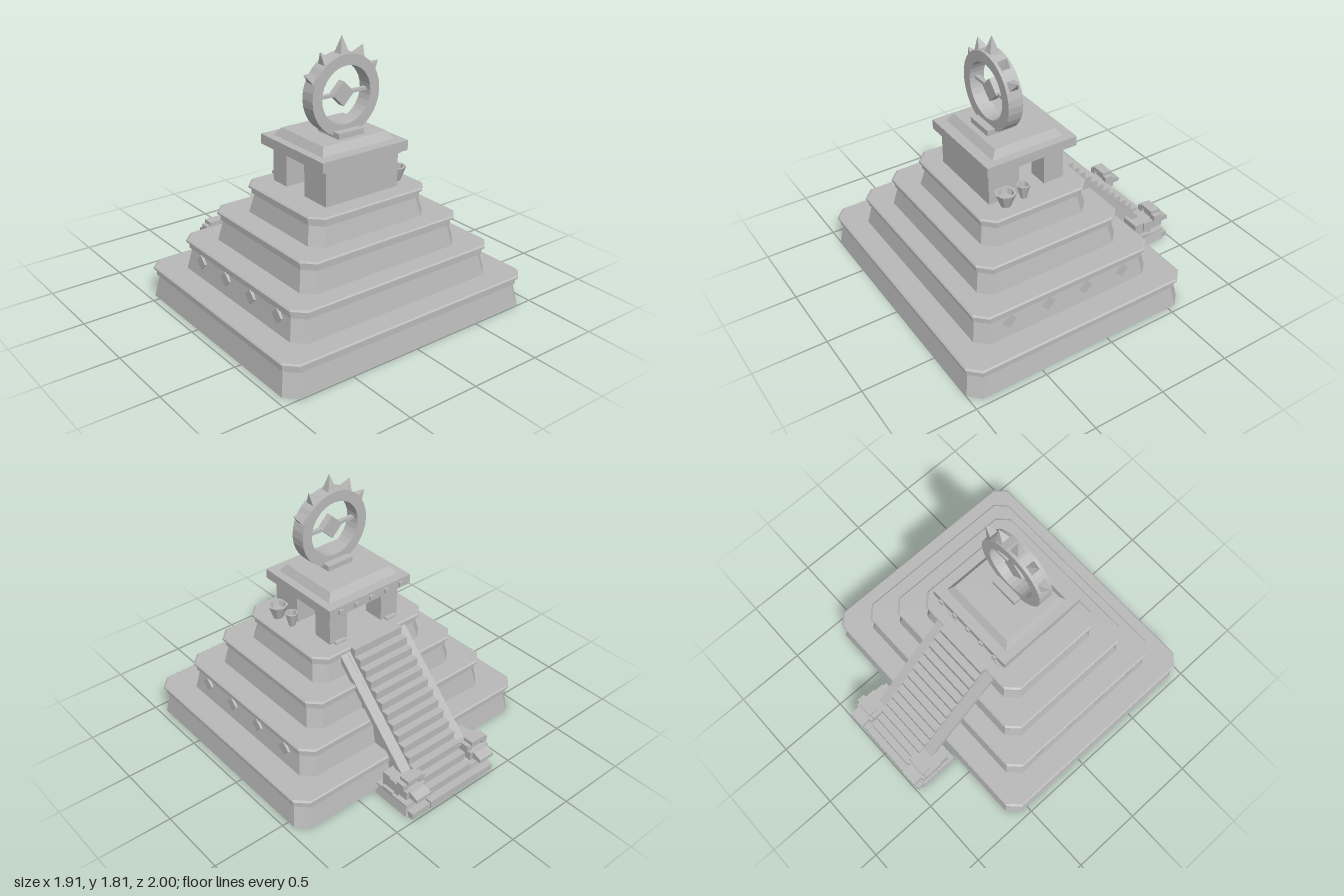
import * as THREE from 'three';

const stone = new THREE.MeshStandardMaterial({ color: 0xb8b8b8, flatShading: true, side: THREE.DoubleSide });
stone.name = 'stone';

function add(parent, name, geometry, x = 0, y = 0, z = 0) {
  const mesh = new THREE.Mesh(geometry, stone);
  mesh.name = name;
  mesh.position.set(x, y, z);
  parent.add(mesh);
  return mesh;
}

// Box given by its min and max along each axis
function block(parent, name, x0, x1, y0, y1, z0, z1) {
  const g = new THREE.BoxGeometry(x1 - x0, y1 - y0, z1 - z0);
  return add(parent, name, g, (x0 + x1) / 2, (y0 + y1) / 2, (z0 + z1) / 2);
}

// Stacked rectangles with cut corners; rings are [halfX, halfZ, y], capped on top
function loft(rings, cut) {
  const pos = [];
  const loops = rings.map(([a, b, y]) => [
    [-a + cut, b], [a - cut, b], [a, b - cut], [a, -b + cut],
    [a - cut, -b], [-a + cut, -b], [-a, -b + cut], [-a, b - cut],
  ].map(([x, z]) => [x, y, z]));
  for (let r = 0; r < loops.length - 1; r++) {
    for (let i = 0; i < 8; i++) {
      const j = (i + 1) % 8;
      const a = loops[r][i], b = loops[r][j], c = loops[r + 1][j], d = loops[r + 1][i];
      pos.push(...a, ...b, ...c, ...a, ...c, ...d);
    }
  }
  const top = loops[loops.length - 1];
  for (let i = 0; i < 8; i++) pos.push(0, top[0][1], 0, ...top[i], ...top[(i + 1) % 8]);
  const g = new THREE.BufferGeometry();
  g.setAttribute('position', new THREE.Float32BufferAttribute(pos, 3));
  g.computeVertexNormals();
  return g;
}

// Side profile of [z, y] points, extruded from x0 to x1
function profile(points, x0, x1) {
  const shape = new THREE.Shape(points.map(([z, y]) => new THREE.Vector2(z, y)));
  const g = new THREE.ExtrudeGeometry(shape, { depth: x1 - x0, bevelEnabled: false });
  return g.rotateY(-Math.PI / 2).translate(x1, 0, 0);
}

function addTiers(root) {
  const tiers = [
    [0.955, 0.815, 0, 0.22], [0.785, 0.66, 0.22, 0.43],
    [0.62, 0.528, 0.43, 0.635], [0.46, 0.395, 0.635, 0.825],
  ];
  tiers.forEach(([a, b, y0, y1], i) => {
    const ring = (inset, y) => [a - inset, b - inset, y];
    add(root, 'tier' + (i + 1), loft([
      ring(0, y0), ring(0.028, y1 - 0.062), ring(0.014, y1 - 0.06), ring(0.014, y1 - 0.025),
      ring(0, y1 - 0.02), ring(0, y1 - 0.008), ring(0.01, y1),
    ], 0.075), 0, 0, 0.182);
  });
  // Diamond studs along both sides of the second tier
  for (const s of [-1, 1]) {
    for (const z of [0.62, 0.335, 0.055, -0.235]) {
      const stud = add(root, 'diamondStud', new THREE.BoxGeometry(0.036, 0.072, 0.072), s * 0.76, 0.325, z);
      stud.rotation.x = Math.PI / 4;
    }
  }
}

function addStairs(root) {
  const stairs = new THREE.Group();
  stairs.name = 'stairs';
  root.add(stairs);
  for (let i = 0; i < 15; i++) {
    const y = 0.825 - i * 0.055, z = -0.25 - i * 0.0527;
    block(stairs, 'step', -0.2, 0.2, y - 0.055, y, z, z + 0.105);
  }
  for (const s of [-1, 1]) {
    const span = (a, b) => (s > 0 ? [a, b] : [-b, -a]);
    add(stairs, 'stairWall', profile([[-0.2, 0], [-0.2, 0.79], [-0.94, 0.04], [-0.96, 0]], ...span(0.195, 0.222)));
    add(stairs, 'stairRail', profile([[-0.2, 0.785], [-0.2, 0.73], [-0.74, 0.19], [-0.8, 0.19]], ...span(0.2, 0.275)));
    addGuardian(stairs, s);
  }
}

// Carved head on a pedestal at the foot of the stairs
function addGuardian(parent, s) {
  const g = new THREE.Group();
  g.name = 'guardian';
  g.position.x = s * 0.28;
  parent.add(g);
  add(g, 'pedestal', loft([[0.09, 0.145, 0], [0.075, 0.13, 0.08], [0.09, 0.14, 0.082], [0.09, 0.14, 0.095]], 0.004), 0, 0, -0.8);
  block(g, 'frontStep', -0.075, 0.075, 0, 0.045, -0.985, -0.93);
  block(g, 'collar', -0.092, 0.092, 0.08, 0.11, -0.81, -0.72);
  block(g, 'neck', -0.07, 0.07, 0.09, 0.2, -0.84, -0.7);
  block(g, 'lowerJaw', -0.05, 0.05, 0.09, 0.14, -0.9, -0.8);
  add(g, 'head', profile([[-0.77, 0.13], [-0.77, 0.2], [-0.93, 0.19], [-0.93, 0.13]], -0.08, 0.08));
  add(g, 'muzzle', profile([[-0.9, 0.14], [-0.9, 0.19], [-0.95, 0.185], [-1, 0.165], [-1, 0.14]], -0.06, 0.06));
  for (const e of [-1, 1]) {
    block(g, 'eye', e * 0.068 - 0.022, e * 0.068 + 0.022, 0.19, 0.235, -0.91, -0.85);
  }
  block(g, 'crest', -0.06, 0.06, 0.232, 0.26, -0.92, -0.845);
  block(g, 'crestBase', -0.035, 0.035, 0.19, 0.235, -0.9, -0.86);
}

function addTemple(root) {
  const t = new THREE.Group();
  t.name = 'temple';
  root.add(t);
  block(t, 'sanctuary', -0.285, 0.285, 0.825, 1.07, 0.23, 0.45);
  block(t, 'sanctuaryMoulding', -0.297, 0.297, 1.05, 1.07, 0.22, 0.46);
  block(t, 'doorPanel', -0.07, 0.07, 0.825, 1.03, 0.215, 0.235);
  for (const s of [-1, 1]) {
    block(t, 'pillar', s * 0.215 - 0.07, s * 0.215 + 0.07, 0.825, 1.07, -0.105, 0.04);
    block(t, 'pillarCapital', s * 0.215 - 0.082, s * 0.215 + 0.082, 1.05, 1.07, -0.117, 0.052);
    block(t, 'pillarFoot', s * 0.215 - 0.04, s * 0.215 + 0.04, 0.825, 0.837, -0.135, -0.1);
  }
  block(t, 'roofSlab', -0.335, 0.335, 1.068, 1.135, -0.17, 0.485);
  add(t, 'roofTop', loft([[0.28, 0.258, 1.135], [0.247, 0.22, 1.187]], 0.001), 0, 0, 0.155);
  for (let i = -2; i <= 2; i++) {
    block(t, 'roofBead', i * 0.125 - 0.015, i * 0.125 + 0.015, 1.085, 1.115, -0.185, -0.165);
  }
  // Two flared pots beside the sanctuary
  for (const [x, z, r] of [[0.343, 0.365, 0.07], [0.333, 0.228, 0.045]]) {
    const pts = [[0, 0], [r * 0.48, 0], [r, 0.097], [r * 0.75, 0.097], [r * 0.62, 0.06], [0, 0.06]];
    add(t, 'pot', new THREE.LatheGeometry(pts.map((p) => new THREE.Vector2(...p)), 8), x, 0.825, z);
  }
}

function addSunRing(root) {
  const sun = new THREE.Group();
  sun.name = 'sunRing';
  sun.position.set(0, 1.443, 0.232);
  root.add(sun);
  block(sun, 'ringBase', -0.1, 0.1, -0.258, -0.218, -0.105, 0.105);
  const shape = new THREE.Shape().absarc(0, 0, 0.26, 0, Math.PI * 2);
  shape.holes.push(new THREE.Path().absarc(0, 0, 0.188, 0, Math.PI * 2, true));
  add(sun, 'ring', new THREE.ExtrudeGeometry(shape, { depth: 0.104, bevelEnabled: false, curveSegments: 16 }), 0, 0, -0.052);
  // Pyramid rays around the upper half
  for (let i = 1; i <= 5; i++) {
    const a = i * Math.PI / 6, h = i === 3 ? 0.12 : 0.085;
    const cone = new THREE.ConeGeometry(0.05, h, 4).rotateY(Math.PI / 4).translate(0, 0.247 + h / 2, 0);
    add(sun, 'ray', cone).rotation.z = a - Math.PI / 2;
  }
  block(sun, 'crossBar', -0.19, 0.19, -0.01, 0.01, -0.015, 0.015);
  add(sun, 'diamond', new THREE.BoxGeometry(0.114, 0.114, 0.05)).rotation.z = Math.PI / 4;
}

export function createModel() {
  const root = new THREE.Group();
  root.name = 'steppedPyramid';
  addTiers(root);
  addStairs(root);
  addTemple(root);
  addSunRing(root);
  return root;
}
